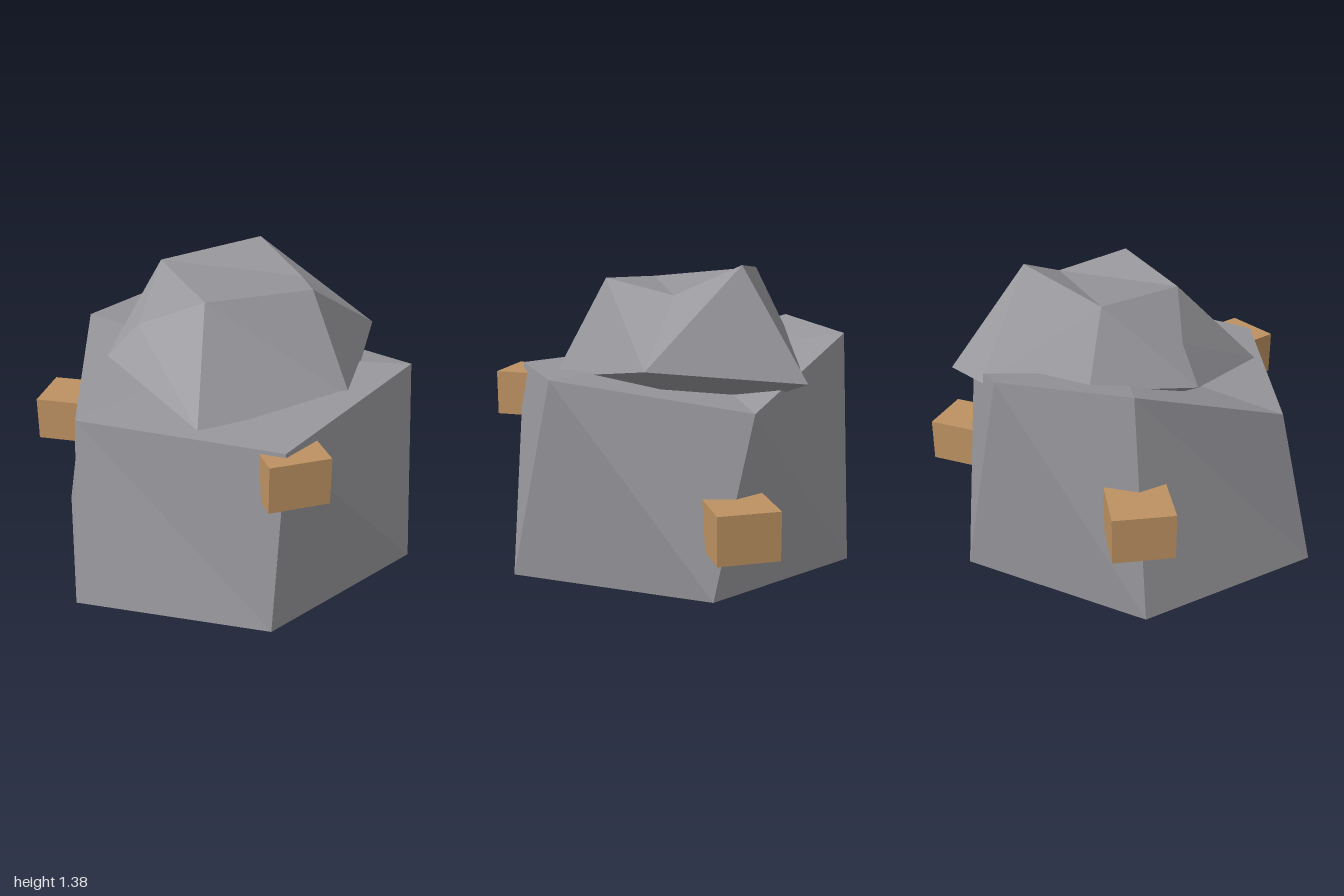
import * as THREE from 'three';

const V = (x, y, z) => new THREE.Vector3(x, y, z);

// Faceted mesh from triangles, each turned to face away from a point inside
function faceted(name, points, faces, inside, material) {
  const corners = [];
  for (const [i, j, k] of faces) {
    const [a, b, c] = [points[i], points[j], points[k]];
    const normal = b.clone().sub(a).cross(c.clone().sub(a));
    const outward = normal.dot(a.clone().sub(inside)) > 0;
    corners.push(a, ...(outward ? [b, c] : [c, b]));
  }
  const geometry = new THREE.BufferGeometry().setFromPoints(corners);
  geometry.computeVertexNormals();
  const mesh = new THREE.Mesh(geometry, material);
  mesh.name = name;
  return mesh;
}

export function createModel() {
  const stone = new THREE.MeshStandardMaterial({ color: 0x96969b });
  stone.name = 'stone grey';
  stone.flatShading = true;
  const wood = new THREE.MeshStandardMaterial({ color: 0xbe9262 });
  wood.name = 'wood brown';

  const group = new THREE.Group();
  group.name = 'rock';

  // Lower boulder: an uneven six-sided tapered block
  const bottom = [[-0.56, 0.79], [0.345, 0.9], [0.87, 0.11], [0.53, -0.64], [-0.42, -0.73], [-1, 0]]
    .map(([x, z]) => V(x, 0, z));
  const top = [
    V(-0.45, 0.83, 0.755), V(0.5, 0.92, 0.735), V(0.745, 0.78, -0.105),
    V(0.31, 1.04, -0.68), V(-0.31, 1.05, -0.61), V(-0.84, 0.83, -0.12),
  ];
  const basePoints = [...bottom, ...top, V(0, 0, 0), V(0, 0.91, 0)];
  const baseFaces = [];
  for (let i = 0; i < 6; i++) {
    const n = (i + 1) % 6;
    baseFaces.push([i + 6, i, n], [i + 6, n, n + 6], [i, n, 12], [i + 6, n + 6, 13]);
  }
  group.add(faceted('lowerBoulder', basePoints, baseFaces, V(0, 0.45, 0), stone));

  // Upper boulder: an irregular crown over a rim that sinks into the lower one
  const P = {
    A: V(-0.25, 1.275, 0.11), B: V(-0.06, 1.325, -0.36), C: V(0.42, 1.38, -0.14),
    D: V(0.38, 1.25, 0.16), E: V(0.13, 1.31, 0.42), M: V(-0.38, 1.13, -0.19),
    F: V(0.115, 0.86, 0.665), G: V(0.705, 0.975, 0.365), H: V(0.72, 0.89, -0.35),
    I: V(0.53, 0.87, -0.41), J: V(-0.07, 1.0, -0.53), L: V(-0.49, 0.98, -0.29),
    N: V(-0.575, 0.85, 0.37), S: V(0.1, 0.6, 0),
  };
  const crown = 'ADB BDC AED DEG DGC CGH CHI CIB BIJ BJL BLM ABM AMN MLN ANF AFE EFG';
  const underside = 'NFS FGS GHS HIS IJS JLS LNS';
  const crownFaces = `${crown} ${underside}`.split(' ').map((f) => [...f]);
  group.add(faceted('upperBoulder', P, crownFaces, V(0.08, 0.92, 0), stone));

  // Wooden blocks set into the sides, a third of a turn apart
  [[0.86, -0.005, 0.32, 0], [-0.375, 0.71, 0.705, 120], [-0.375, -0.714, 0.515, 240]]
    .forEach(([x, z, y, degrees], i) => {
      const block = new THREE.Mesh(new THREE.BoxGeometry(0.28, 0.215, 0.275), wood);
      block.position.set(x, y, z);
      block.rotation.y = -THREE.MathUtils.degToRad(degrees);
      block.name = `woodenBlock${i + 1}`;
      group.add(block);
    });

  return group;
}
